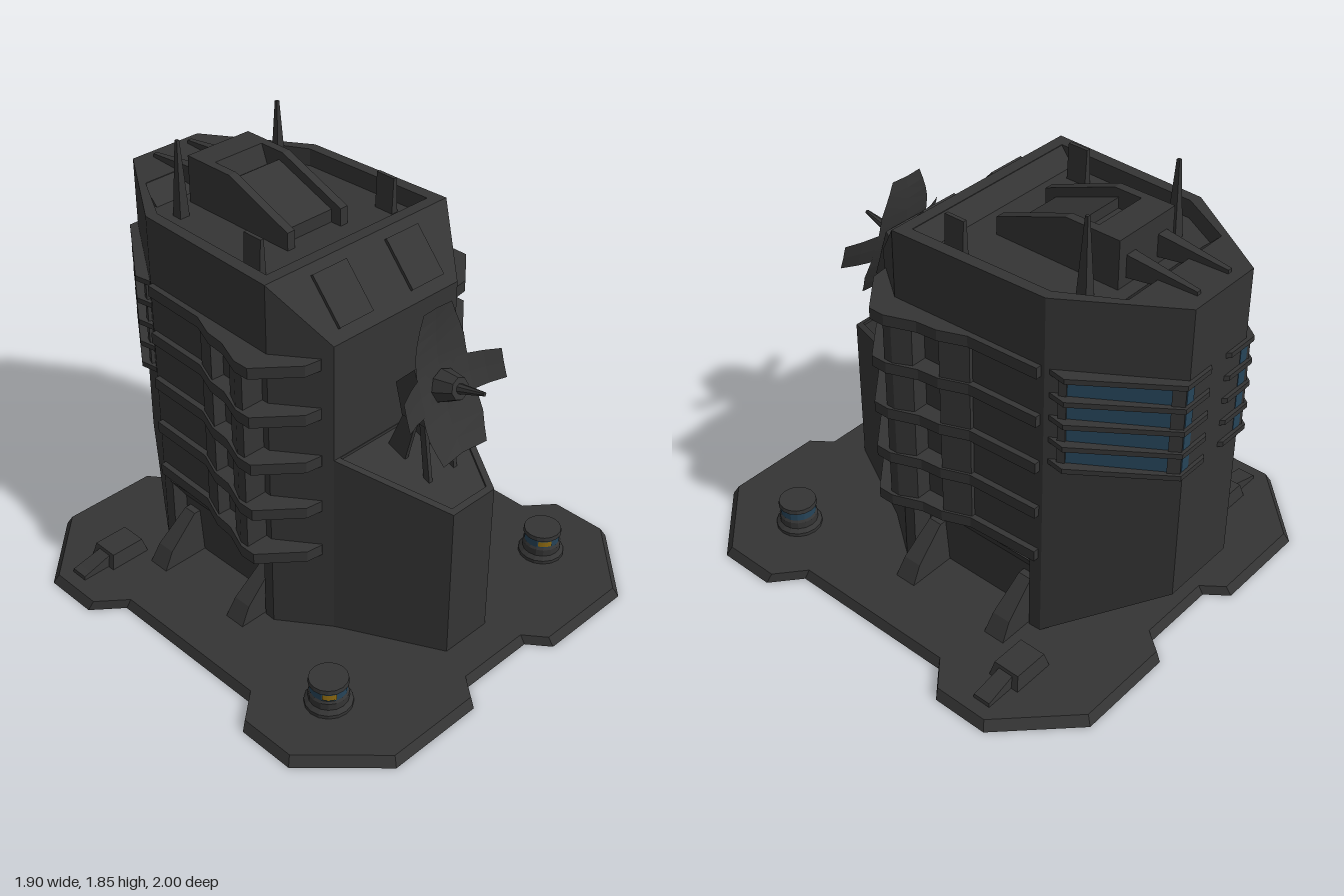
import * as THREE from 'three';

const hull = new THREE.MeshStandardMaterial({ color: 0x343434, flatShading: true, side: THREE.DoubleSide });
hull.name = 'hull grey';
const glass = new THREE.MeshStandardMaterial({ color: 0x264459, flatShading: true });
glass.name = 'blue glass';
const amber = new THREE.MeshStandardMaterial({ color: 0x8f6b12, flatShading: true });
amber.name = 'amber light';

const asFn = (v) => (typeof v === 'function' ? v : () => v);
// Mirrors a half outline across x = 0
const sym = (half) => [...half, ...half.map(([x, z]) => [-x, z]).reverse()];
const flipX = (pts, s) => pts.map(([x, z]) => [x * s, z]);
const toShape = (pts) => new THREE.Shape(pts.map(([x, y]) => new THREE.Vector2(x, y)));

function add(parent, name, geo, mat = hull) {
  const m = new THREE.Mesh(geo, mat);
  m.name = name;
  parent.add(m);
  return m;
}

// Upright prism over an (x, z) outline; bottom and top may vary with z
function prism(outline, bottom, top, hole, topScale = 1) {
  const flip = (pts) => pts.map(([x, z]) => [x, -z]);
  const shape = toShape(flip(outline));
  if (hole) shape.holes.push(toShape(flip(hole)));
  const geo = new THREE.ExtrudeGeometry(shape, { depth: 1, bevelEnabled: false });
  geo.rotateX(-Math.PI / 2);
  const p = geo.attributes.position, lo = asFn(bottom), hi = asFn(top);
  for (let i = 0; i < p.count; i++) {
    const t = p.getY(i), z = p.getZ(i), k = 1 + (topScale - 1) * t;
    p.setXYZ(i, p.getX(i) * k, lo(z) + (hi(z) - lo(z)) * t, z * k);
  }
  geo.computeVertexNormals();
  return geo;
}

// Side profile given as (z, y), extruded across x
function side(profile, x0, x1) {
  const geo = new THREE.ExtrudeGeometry(toShape(profile.map(([z, y]) => [-z, y])),
    { depth: Math.abs(x1 - x0), bevelEnabled: false });
  return geo.rotateY(Math.PI / 2).translate(Math.min(x0, x1), 0, 0);
}

// Front profile given as (x, y), extruded across z; narrowing thins it with height
function front(profile, z0, z1, narrowing = 0) {
  const geo = new THREE.ExtrudeGeometry(toShape(profile), { depth: z1 - z0, bevelEnabled: false }).translate(0, 0, (z0 - z1) / 2);
  const p = geo.attributes.position;
  for (let i = 0; i < p.count; i++) p.setZ(i, p.getZ(i) * (1 - narrowing * p.getY(i)));
  geo.computeVertexNormals();
  return geo.translate(0, 0, (z0 + z1) / 2);
}

function buildTower(g) {
  const back = [[0.445, -0.565], [0.17, -0.985]];
  const under = (z) => 0.04 + (-0.565 - z) * 0.62;
  add(g, 'towerFront', prism(sym([[0.33, 0.33], [0.475, 0.13]]), 0.04, (z) => (z > 0.2 ? 1.375 : 1.605)));
  add(g, 'towerBody', prism(sym([[0.475, 0.13], ...back]), 0.39, 1.53));
  add(g, 'roofParapet', prism(sym([[0.475, 0.13], ...back]), 1.53, 1.605,
    sym([[0.42, 0.08], [0.4, -0.55], [0.27, -0.78]])));
  add(g, 'lowerFront', prism(sym([[0.475, 0.13], [0.473, 0.08]]), 0.04, 0.39));
  add(g, 'lowerBack', prism(sym([[0.448, -0.51], back[0]]), 0.04, 0.39));
  add(g, 'rearOverhang', prism(sym(back), under, 0.39));
  add(g, 'sideAlcove', front([[0.38, 0.04], [0.38, 0.27], [0.46, 0.39], [-0.46, 0.39], [-0.38, 0.27], [-0.38, 0.04]], -0.51, 0.08));

  // Prow with a slightly recessed sloping deck
  const deck = (z) => 0.725 + (0.745 - z) * 0.35;
  const prow = sym([[0.115, 0.745], [0.33, 0.33]]);
  add(g, 'prow', prism(prow, 0.04, (z) => deck(z) - 0.012));
  add(g, 'prowRim', prism(prow, (z) => deck(z) - 0.012, deck, sym([[0.097, 0.72], [0.3, 0.332]])));
}

function buildRoof(g) {
  // Sloped inner faces of the parapet
  add(g, 'parapetSlopeRear', side([[-0.79, 1.602], [-0.78, 1.602], [-0.7, 1.525], [-0.79, 1.525]], -0.28, 0.28));
  add(g, 'parapetSlopeFront', side([[0.09, 1.602], [0.08, 1.602], [0.02, 1.525], [0.09, 1.525]], -0.42, 0.42));
  add(g, 'rampCore', side([[-0.14, 1.52], [-0.14, 1.585], [-0.43, 1.695], [-0.43, 1.65], [-0.5, 1.65],
    [-0.53, 1.73], [-0.65, 1.73], [-0.65, 1.52]], -0.12, 0.12));
  for (const s of [1, -1]) {
    add(g, 'rampWall', side([[-0.09, 1.52], [-0.09, 1.605], [-0.41, 1.73], [-0.65, 1.73], [-0.65, 1.52]], s * 0.12, s * 0.157));
    add(g, 'roofRail', prism(flipX([[0.065, -0.64], [0.115, -0.64], [0.1, -0.94], [0.08, -0.94]], s),
      (z) => (z < -0.8 ? 1.6 : 1.56), (z) => (z < -0.8 ? 1.62 : 1.655)));
    add(g, 'roofPost', front([[s * 0.33, 1.52], [s * 0.362, 1.52], [s * 0.354, 1.68], [s * 0.338, 1.68]], -0.11, -0.02));
    const mast = new THREE.CylinderGeometry(0.009, 0.033, 0.33, 4).rotateY(Math.PI / 4).translate(s * 0.257, 1.685, -0.585);
    add(g, 'antenna', mast);
    // Raised panels on the front slope
    const panel = add(g, 'slopePanel', new THREE.BoxGeometry(0.172, 0.215, 0.03));
    panel.position.set(s * 0.19, 1.492, 0.226);
    panel.rotation.x = -0.716;
  }
}

function buildSide(g, s) {
  const plan = flipX([[0.33, 0.27], [0.36, 0.295], [0.43, 0.285], [0.588, 0.15], [0.588, 0.08], [0.54, -0.04],
    [0.53, -0.13], [0.485, -0.24], [0.47, -0.55], [0.4, -0.55]], s);
  for (let i = 0; i < 5; i++) {
    const y = 0.437 + i * 0.2145;
    add(g, 'sideFin', prism(plan, y - 0.024, y + 0.024));
  }
  add(g, 'frontPost', prism(flipX([[0.44, 0.1], [0.572, 0.1], [0.572, 0.06], [0.535, -0.01], [0.44, -0.01]], s), 0.42, 1.31));
  add(g, 'rearPost', prism(flipX([[0.44, -0.125], [0.52, -0.13], [0.475, -0.24], [0.44, -0.24]], s), 0.42, 1.31));
  // Buttresses in the alcove
  for (const z of [0.025, -0.455]) {
    const foot = flipX([[0.36, 0.04], [0.36, 0.235], [0.41, 0.235], [0.55, 0.115], [0.595, 0.04]], s);
    add(g, 'buttress', front(foot, z - 0.052, z + 0.052, 1.8));
  }

  // Louvred window on the rear corner face, with slats wrapping the corner
  const pane = [[0.385, -0.63], [0.413, -0.64], [0.2, -0.967], [0.18, -0.987], [0.14, -0.987], [0.14, -0.96]];
  const slat = [[0.42, -0.58], [0.436, -0.58], [0.448, -0.655], [0.2, -1], [0.06, -1], [0.04, -0.98], [0.16, -0.96]];
  add(g, 'windowGlass', prism(flipX(pane, s), 0.9, 1.29), glass);
  add(g, 'windowFrame', prism(flipX([[0.4, -0.605], [0.43, -0.615], [0.418, -0.643], [0.38, -0.635]], s), 0.9, 1.3));
  add(g, 'windowFrame', prism(flipX([[0.2, -0.945], [0.22, -0.95], [0.192, -0.99], [0.16, -0.975]], s), 0.9, 1.3));
  for (let i = 0; i < 5; i++) {
    const y = 0.9 + i * 0.1;
    add(g, 'windowSlat', prism(flipX(slat, s), y - 0.011, y + 0.011));
  }
}

function buildDish(g) {
  const bowl = (x, y) => 0.55 - 0.28 * (y - 1.2) + 0.6 * (y - 1.2) ** 2 + x * x;
  const lerpRows = (rows, t) => {
    for (let i = 1; i < rows.length; i++) {
      const [a, u] = rows[i - 1], [b, v] = rows[i];
      if (t <= b) return u + ((v - u) * (t - a)) / (b - a);
    }
    return rows[rows.length - 1][1];
  };
  // Curved vertical vane and cross wings bent by the bowl rule
  const vane = new THREE.PlaneGeometry(2, 0.56, 2, 11).translate(0, 1.2, 0);
  const rows = [[0.92, 0.12], [1.03, 0.15], [1.34, 0.13], [1.48, 0.075]];
  const wings = new THREE.PlaneGeometry(0.53, 2, 8, 2);
  for (const geo of [vane, wings]) {
    const p = geo.attributes.position;
    for (let i = 0; i < p.count; i++) {
      let x = p.getX(i), y = p.getY(i);
      if (geo === vane) x *= lerpRows(rows, y);
      else y = 1.177 + y * (0.07 - 0.1 * Math.max(0, Math.abs(x) - 0.13));
      p.setXYZ(i, x, y, bowl(x, y) + (geo === wings ? 0.004 : 0));
    }
    geo.computeVertexNormals();
    add(g, geo === vane ? 'dishVane' : 'dishWings', geo);
  }
  add(g, 'dishMount', side([[0.53, 1.275], [0.44, 1.18], [0.475, 1.05], [0.6, 1.05]], -0.12, 0.12));
  const feed = new THREE.Group();
  feed.name = 'dishFeed';
  feed.position.set(0, 1.17, 0.57);
  feed.rotation.x = Math.PI / 2 - 0.27;
  g.add(feed);
  add(feed, 'feedHub', new THREE.CylinderGeometry(0.045, 0.068, 0.08, 8).translate(0, 0.04, 0));
  add(feed, 'feedHorn', new THREE.CylinderGeometry(0.008, 0.022, 0.13, 8).translate(0, 0.135, 0));
  for (const s of [1, -1]) {
    add(g, 'rearStrut', side([[0.52, 1.06], [0.46, 1.06], [0.365, 0.83], [0.45, 0.78]], s * 0.06, s * 0.078));
    add(g, 'frontStrut', side([[0.545, 1.06], [0.52, 1.06], [0.56, 0.74], [0.59, 0.74]], s * 0.06, s * 0.078));
  }
}

function buildCorners(g, s) {
  // Round beacon
  const beacon = new THREE.Group();
  beacon.name = 'beacon';
  beacon.position.set(s * 0.635, 0, 0.61);
  g.add(beacon);
  const profile = [[0, 0.03], [0.096, 0.03], [0.096, 0.055], [0.08, 0.07], [0.08, 0.1], [0.074, 0.11], [0, 0.11]];
  add(beacon, 'beaconBase', new THREE.LatheGeometry(profile.map(([x, y]) => new THREE.Vector2(x, y)), 16));
  add(beacon, 'beaconGlass', new THREE.CylinderGeometry(0.074, 0.074, 0.045, 16).translate(0, 0.13, 0), glass);
  add(beacon, 'beaconCap', new THREE.CylinderGeometry(0.078, 0.081, 0.018, 16).translate(0, 0.157, 0));
  add(beacon, 'beaconLight', new THREE.CylinderGeometry(0.077, 0.077, 0.025, 6, 1, true, -1.1, 0.75).translate(0, 0.13, 0), amber);
  // Rear clamp with a tapering arm
  const z = -0.64;
  const clamp = new THREE.CylinderGeometry(0.8 * Math.SQRT1_2, Math.SQRT1_2, 0.07, 4).rotateY(Math.PI / 4);
  add(g, 'clamp', clamp.scale(0.19, 1, 0.145).translate(s * 0.655, 0.067, z));
  const arm = flipX([[0.72, 0.03], [0.72, 0.092], [0.84, 0.062], [0.87, 0.055], [0.875, 0.03]], s);
  add(g, 'clampArm', front(arm, z - 0.045, z + 0.045, 3));
}

export function createModel() {
  const g = new THREE.Group();
  g.name = 'commandTower';
  add(g, 'basePlate', prism(sym([[0.17, 0.91], [0.24, 1], [0.67, 1], [0.95, 0.72], [0.95, 0.47], [0.83, 0.37],
    [0.83, -0.38], [0.95, -0.48], [0.95, -0.72], [0.67, -1], [0.24, -1], [0.17, -0.91]]), 0, 0.04, null, 0.978));
  buildTower(g);
  buildRoof(g);
  buildDish(g);
  for (const s of [1, -1]) {
    buildSide(g, s);
    buildCorners(g, s);
  }
  return g;
}
